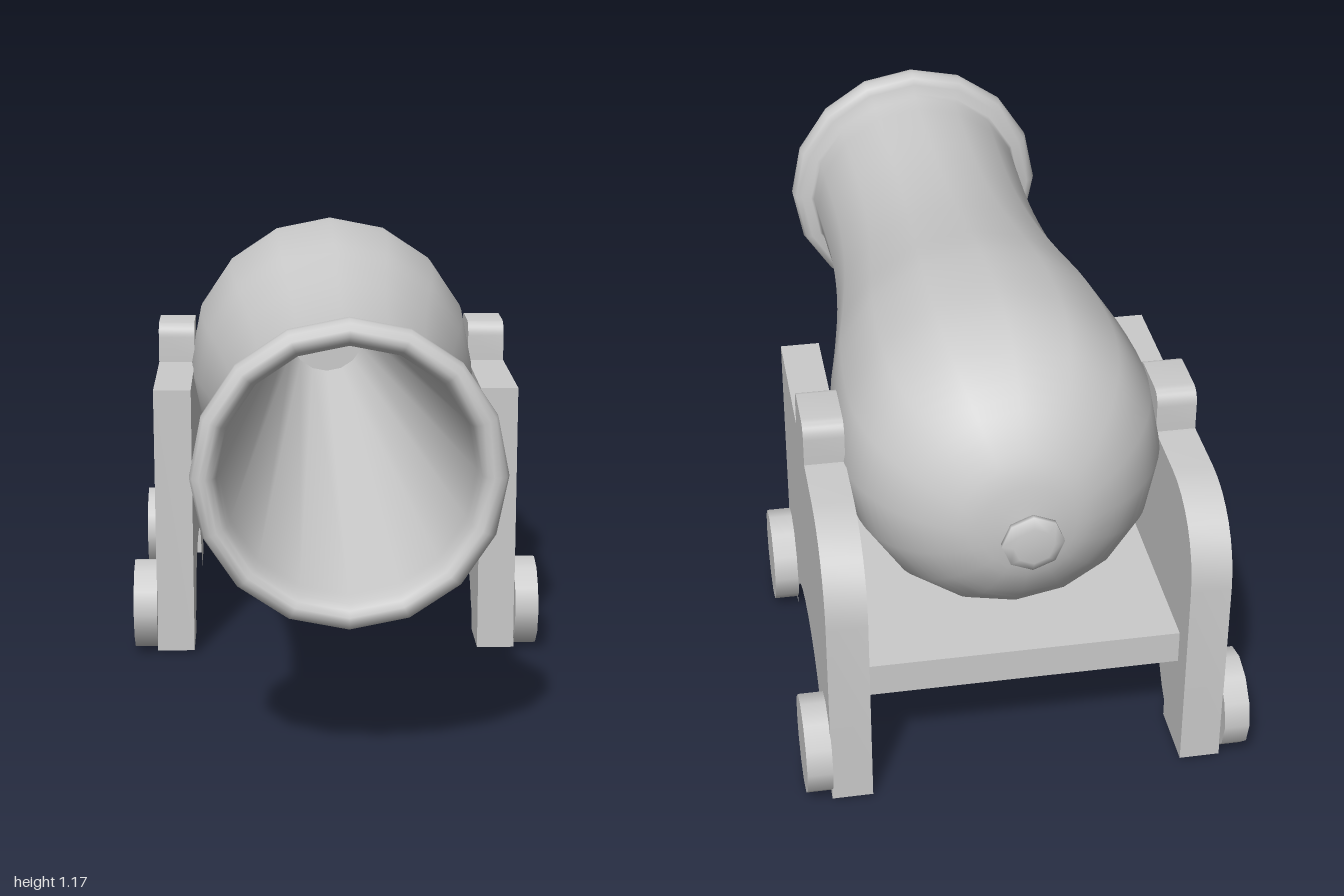
import * as THREE from 'three';
import { toCreasedNormals } from 'three/addons/utils/BufferGeometryUtils.js';

const material = new THREE.MeshStandardMaterial({ color: 0xcccccc });
const sheetMaterial = new THREE.MeshStandardMaterial({ color: 0xcccccc, side: THREE.DoubleSide });
const AXIS_Y = 0.757;

export function createModel() {
  const model = new THREE.Group();
  model.name = 'cannon';

  function add(name, geometry, parent = model, mat = material) {
    const mesh = new THREE.Mesh(geometry, mat);
    mesh.name = name;
    parent.add(mesh);
    return mesh;
  }

  // Lathe around the z axis; points are [radius, z]
  function turned(points, sides) {
    const profile = points.map(([r, z]) => new THREE.Vector2(r, z));
    return new THREE.LatheGeometry(profile, sides).rotateX(Math.PI / 2);
  }

  // Barrel: round breech, waist, rolled muzzle ring and tapering bore in one profile
  const barrel = new THREE.Group();
  barrel.name = 'barrel';
  barrel.position.y = AXIS_Y;
  model.add(barrel);

  const curve = new THREE.SplineCurve([
    [0, -0.917], [0.12, -0.9], [0.2, -0.868], [0.28, -0.81], [0.35, -0.725],
    [0.396, -0.62], [0.415, -0.47], [0.4, -0.22], [0.362, 0], [0.328, 0.22],
    [0.311, 0.42], [0.308, 0.62], [0.317, 0.9],
  ].map(([r, z]) => new THREE.Vector2(r, z)));
  const body = curve.getPoints(36).map((p) => [Math.max(p.x, 0), p.y]);
  add('barrelBody', turned([
    ...body, [0.325, 0.91], [0.352, 0.914], [0.37, 0.924], [0.378, 0.945], [0.378, 0.968],
    [0.371, 0.988], [0.355, 0.998], [0.34, 1], [0.325, 0.99], [0.314, 0.97],
    [0.308, 0.93], [0.306, 0.91], [0.118, -0.85],
  ], 16), barrel);
  add('boreBottom', new THREE.CircleGeometry(0.118, 16), barrel).position.z = -0.85;

  // Knob on the breech, its neck ending inside the bore
  add('breechKnob', turned([
    [0, -0.98], [0.05, -0.98], [0.077, -0.968], [0.077, -0.955], [0.042, -0.925],
    [0.045, -0.9], [0.045, -0.845],
  ], 8), barrel);
  add('knobNeckEnd', new THREE.CircleGeometry(0.045, 8), barrel).position.z = -0.845;

  // Carriage side outline, drawn as (z, y): front, top and back edge
  const edge = new THREE.Path();
  edge.moveTo(0.03, 0.012);
  edge.lineTo(0.03, 0.767);
  edge.lineTo(-0.368, 0.767);
  edge.lineTo(-0.368, 0.84);
  edge.quadraticCurveTo(-0.37, 0.88, -0.41, 0.88);
  edge.lineTo(-0.515, 0.88);
  edge.quadraticCurveTo(-0.555, 0.88, -0.557, 0.84);
  edge.lineTo(-0.557, 0.767);
  edge.lineTo(-0.73, 0.767);
  edge.bezierCurveTo(-0.86, 0.767, -0.958, 0.68, -0.958, 0.55);
  edge.lineTo(-0.958, 0.012);
  const edgePoints = edge.getPoints(8);

  // The same outline closed by the feet and the arch
  const face = new THREE.Shape(edgePoints);
  face.lineTo(-0.782, 0.012);
  face.lineTo(-0.782, 0.06);
  face.lineTo(-0.752, 0.085);
  face.bezierCurveTo(-0.66, 0.26, -0.26, 0.26, -0.17, 0.085);
  face.lineTo(-0.14, 0.06);
  face.lineTo(-0.14, 0.012);
  const faceGeometry = new THREE.ShapeGeometry(face, 10).rotateY(-Math.PI / 2);

  // Strip across the thickness; the underside stays open
  const THICKNESS = 0.104;
  const n = edgePoints.length;
  const strip = new THREE.PlaneGeometry(1, 1, n - 1, 1);
  edgePoints.forEach((p, i) => {
    strip.attributes.position.setXYZ(i, -THICKNESS / 2, p.y, p.x);
    strip.attributes.position.setXYZ(n + i, THICKNESS / 2, p.y, p.x);
  });
  const edgeGeometry = toCreasedNormals(strip, 0.6);

  const wheelGeometry = new THREE.CylinderGeometry(0.127, 0.127, 0.065, 12).rotateZ(Math.PI / 2);

  for (const [label, s] of [['left', 1], ['right', -1]]) {
    const side = new THREE.Group();
    side.name = label + 'CarriageSide';
    side.position.x = s * 0.454;
    model.add(side);
    add('sideEdge', edgeGeometry, side, sheetMaterial);
    for (const x of [-THICKNESS / 2, THICKNESS / 2]) {
      add('sideFace', faceGeometry, side, sheetMaterial).position.x = x;
    }
    for (const [end, z] of [['Front', -0.052], ['Rear', -0.87]]) {
      add(label + end + 'Wheel', wheelGeometry).position.set(s * 0.5375, 0.13, z);
    }
  }

  // Bed under the breech: a thin deck with a rear apron, open below and in front
  const deck = new THREE.PlaneGeometry(0.805, 0.675).rotateX(-Math.PI / 2);
  add('deck', deck, model, sheetMaterial).position.set(0, 0.367, -0.5475);
  const apron = new THREE.PlaneGeometry(0.805, 0.09).rotateY(Math.PI);
  add('rearApron', apron, model, sheetMaterial).position.set(0, 0.322, -0.885);

  return model;
}
